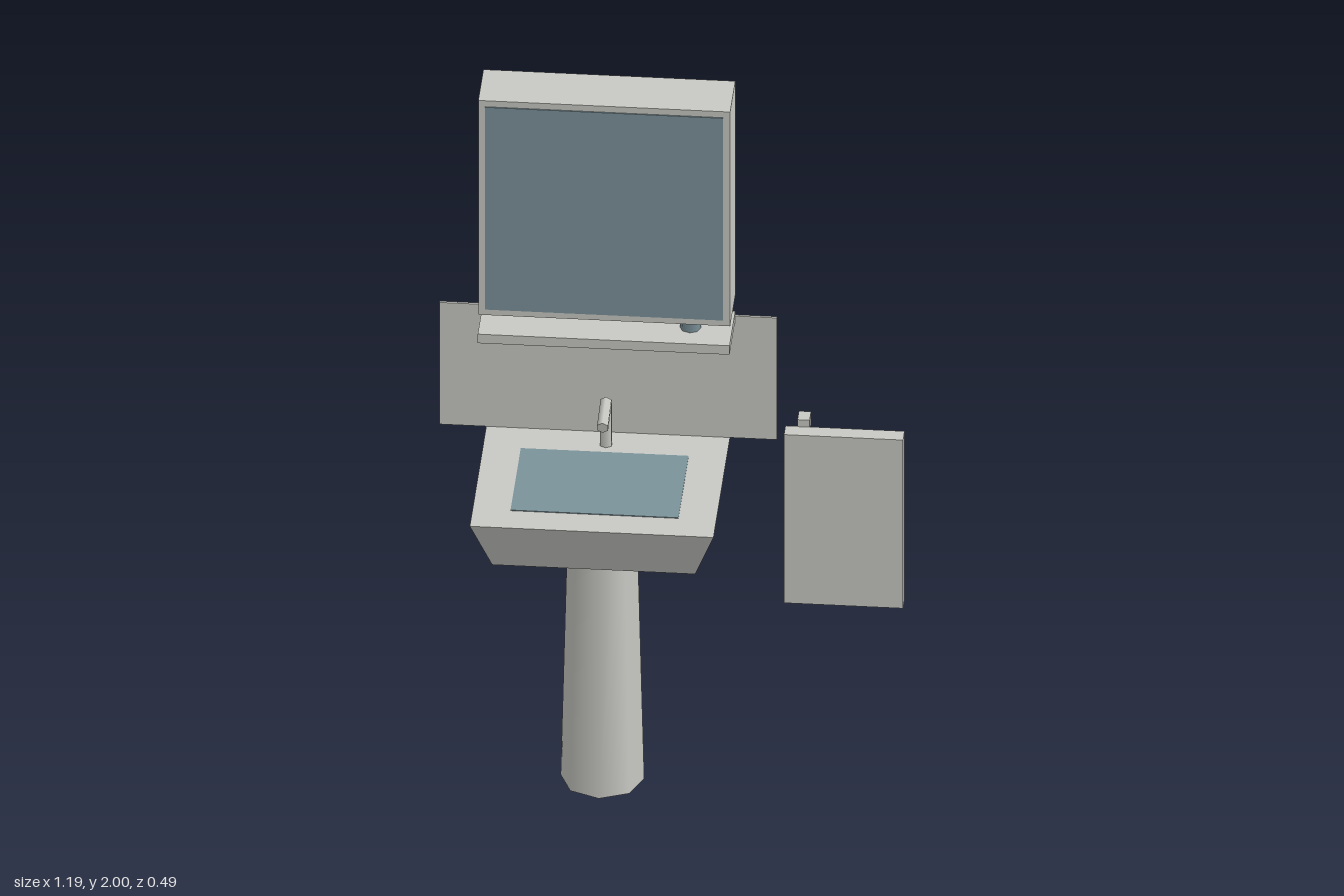
import * as THREE from 'three';

export function createModel() {
  const model = new THREE.Group();
  model.name = 'washbasinSet';

  const mat = (name, color) => {
    const m = new THREE.MeshStandardMaterial({ color });
    m.name = name;
    return m;
  };
  const ceramic = mat('ceramicGrey', 0xc9c9c4);
  const glass = mat('glassBlue', 0x7c939b);

  const add = (name, geometry, material) => {
    const mesh = new THREE.Mesh(geometry, material);
    mesh.name = name;
    model.add(mesh);
    return mesh;
  };
  // Box given by its limits on each axis
  const box = (name, material, [x0, x1], [y0, y1], [z0, z1]) => {
    const g = new THREE.BoxGeometry(x1 - x0, y1 - y0, z1 - z0);
    g.translate((x0 + x1) / 2, (y0 + y1) / 2, (z0 + z1) / 2);
    return add(name, g, material);
  };
  // Cylinder running from one point to another
  const rod = (name, material, from, to, r0, r1, sides) => {
    const a = new THREE.Vector3(...from), b = new THREE.Vector3(...to);
    const dir = b.clone().sub(a);
    const mesh = add(name, new THREE.CylinderGeometry(r1, r0, dir.length(), sides), material);
    mesh.position.copy(a).add(b).multiplyScalar(0.5);
    mesh.quaternion.setFromUnitVectors(new THREE.Vector3(0, 1, 0), dir.normalize());
    return mesh;
  };

  const cx = -0.165; // centre line of the basin

  // Pedestal
  rod('pedestal', ceramic, [cx, 0, -0.073], [cx, 0.785, -0.073], 0.107, 0.088, 8);

  // Basin: a box whose bottom narrows at the sides and front, with a flat back
  const basin = new THREE.BoxGeometry(0.624, 0.15, 0.491);
  const p = basin.attributes.position;
  for (let i = 0; i < p.count; i++) {
    if (p.getY(i) > 0) continue;
    p.setX(i, Math.sign(p.getX(i)) * 0.26);
    if (p.getZ(i) > 0) p.setZ(i, p.getZ(i) - 0.06);
  }
  basin.computeVertexNormals();
  basin.translate(cx, 0.857, -0.0015);
  add('basin', basin, ceramic);
  box('water', glass, [-0.38, 0.05], [0.93, 0.934], [-0.14, 0.16]);

  // Tap
  rod('tapPost', ceramic, [cx, 0.93, -0.18], [cx, 1.06, -0.18], 0.017, 0.017, 6);
  rod('tapSpout', ceramic, [cx, 1.06, -0.18], [cx, 1.045, -0.077], 0.016, 0.016, 6);

  // Splashback, shelf and cup
  box('splashback', ceramic, [-0.597, 0.267], [0.932, 1.298], [-0.247, -0.24]);
  box('shelf', ceramic, [-0.485, 0.16], [1.281, 1.308], [-0.247, -0.08]);
  rod('cup', glass, [0.053, 1.308, -0.16], [0.053, 1.38, -0.16], 0.027, 0.03, 8);

  // Mirror cabinet
  box('cabinet', ceramic, [-0.485, 0.16], [1.356, 2], [-0.247, -0.097]);
  box('mirror', glass, [-0.468, 0.142], [1.374, 1.982], [-0.098, -0.094]);

  // Towel on its hook
  box('towel', ceramic, [0.292, 0.597], [0.49, 0.996], [-0.207, -0.164]);
  box('towelHook', ceramic, [0.323, 0.354], [0.98, 1.017], [-0.247, -0.205]);

  return model;
}
